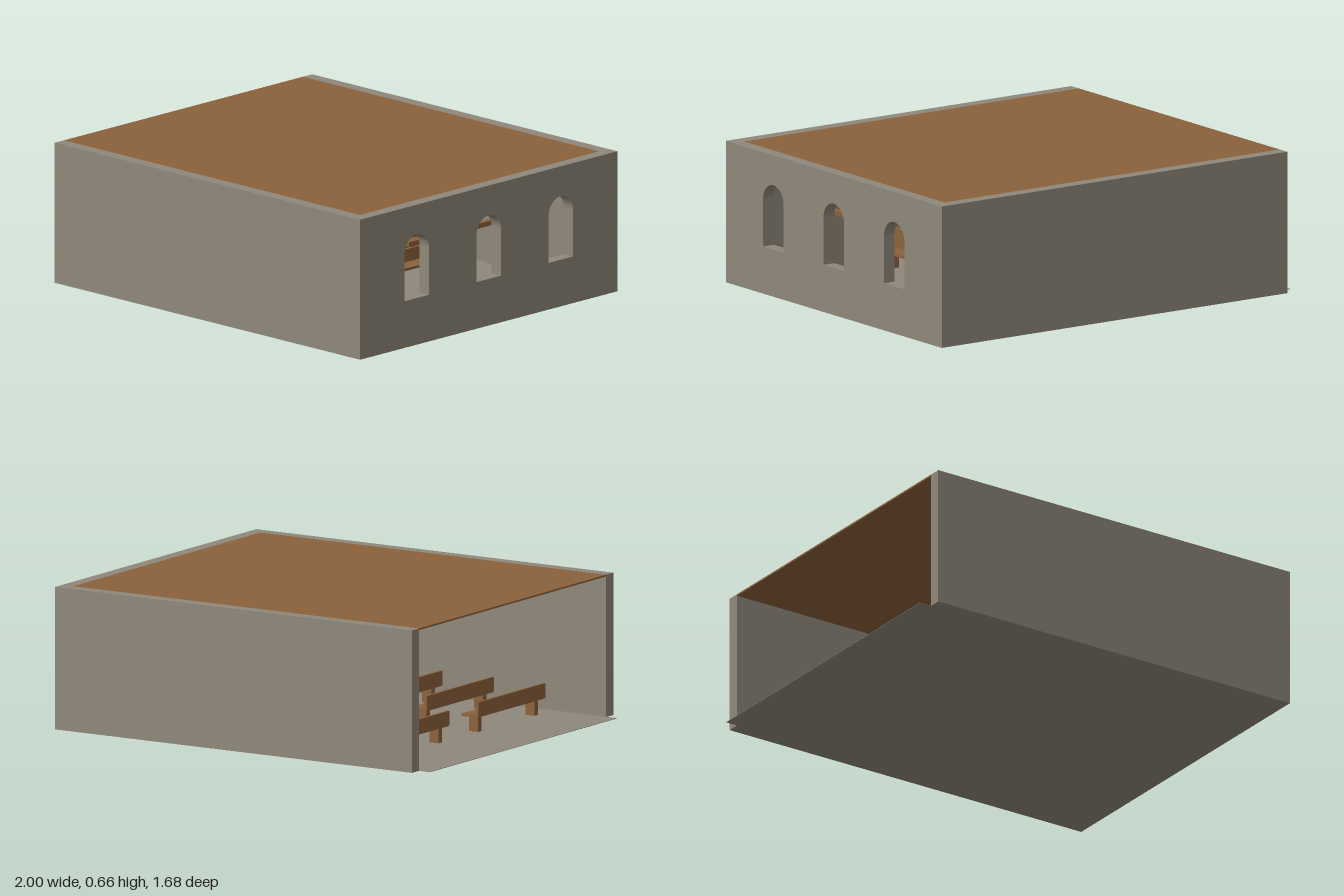
import * as THREE from 'three';

export function createModel() {
  const model = new THREE.Group();
  model.name = 'hall';

  const stone = new THREE.MeshStandardMaterial({ color: 0x8f887b });
  stone.name = 'stone';
  const wood = new THREE.MeshStandardMaterial({ color: 0x8b623b });
  wood.name = 'wood';

  // Box given by its size and centre
  function box(parent, name, material, size, centre) {
    const mesh = new THREE.Mesh(new THREE.BoxGeometry(...size), material);
    mesh.position.set(...centre);
    mesh.name = name;
    parent.add(mesh);
    return mesh;
  }

  const height = 0.66;
  const wall = 0.06;

  // Floor, reaching a little past the open end
  box(model, 'floor', stone, [1.94, 0.002, 1.56], [-0.03, 0.001, 0]);

  // Long walls
  box(model, 'frontWall', stone, [1.94, height, wall], [0.03, height / 2, 0.81]);
  box(model, 'backWall', stone, [1.94, height, wall], [0.03, height / 2, -0.81]);

  // End wall with three arched windows
  const outline = new THREE.Shape();
  outline.moveTo(-0.78, 0);
  outline.lineTo(0.78, 0);
  outline.lineTo(0.78, height);
  outline.lineTo(-0.78, height);
  outline.closePath();
  const r = 0.08;
  for (const c of [-0.47, 0, 0.47]) {
    const hole = new THREE.Path();
    hole.moveTo(c - r, 0.22);
    hole.lineTo(c + r, 0.22);
    hole.lineTo(c + r, 0.44);
    hole.absarc(c, 0.44, r, 0, Math.PI, false);
    hole.lineTo(c - r, 0.22);
    outline.holes.push(hole);
  }
  const endGeometry = new THREE.ExtrudeGeometry(outline, { depth: wall, bevelEnabled: false, curveSegments: 16 });
  endGeometry.rotateY(Math.PI / 2);
  endGeometry.translate(1 - wall, 0, 0);
  const endWall = new THREE.Mesh(endGeometry, stone);
  endWall.name = 'windowWall';
  model.add(endWall);

  // Flat roof set between the walls
  box(model, 'roof', wood, [1.88, 0.008, 1.56], [0, height - 0.004, 0]);

  // Raised platform and the cross standing on it
  box(model, 'platform', stone, [0.5, 0.04, 0.58], [0.69, 0.022, 0]);
  const cross = new THREE.Group();
  cross.name = 'cross';
  box(cross, 'crossPost', wood, [0.025, 0.54, 0.025], [0.83, 0.31, 0]);
  box(cross, 'crossArm', wood, [0.024, 0.022, 0.72], [0.83, 0.42, 0]);
  model.add(cross);

  // Bench facing the platform: seat, back rest and two legs
  function bench(x, z) {
    const group = new THREE.Group();
    group.name = 'bench';
    group.position.set(x, 0, z);
    box(group, 'seat', wood, [0.085, 0.012, 0.56], [0.012, 0.08, 0]);
    box(group, 'backRest', wood, [0.012, 0.068, 0.56], [-0.03, 0.112, 0]);
    for (const side of [-1, 1]) {
      box(group, 'leg', wood, [0.05, 0.074, 0.03], [0.01, 0.038, side * 0.235]);
    }
    model.add(group);
  }
  for (const x of [-0.64, -0.36, -0.08, 0.2]) {
    for (const z of [-0.4, 0.4]) bench(x, z);
  }

  return model;
}
